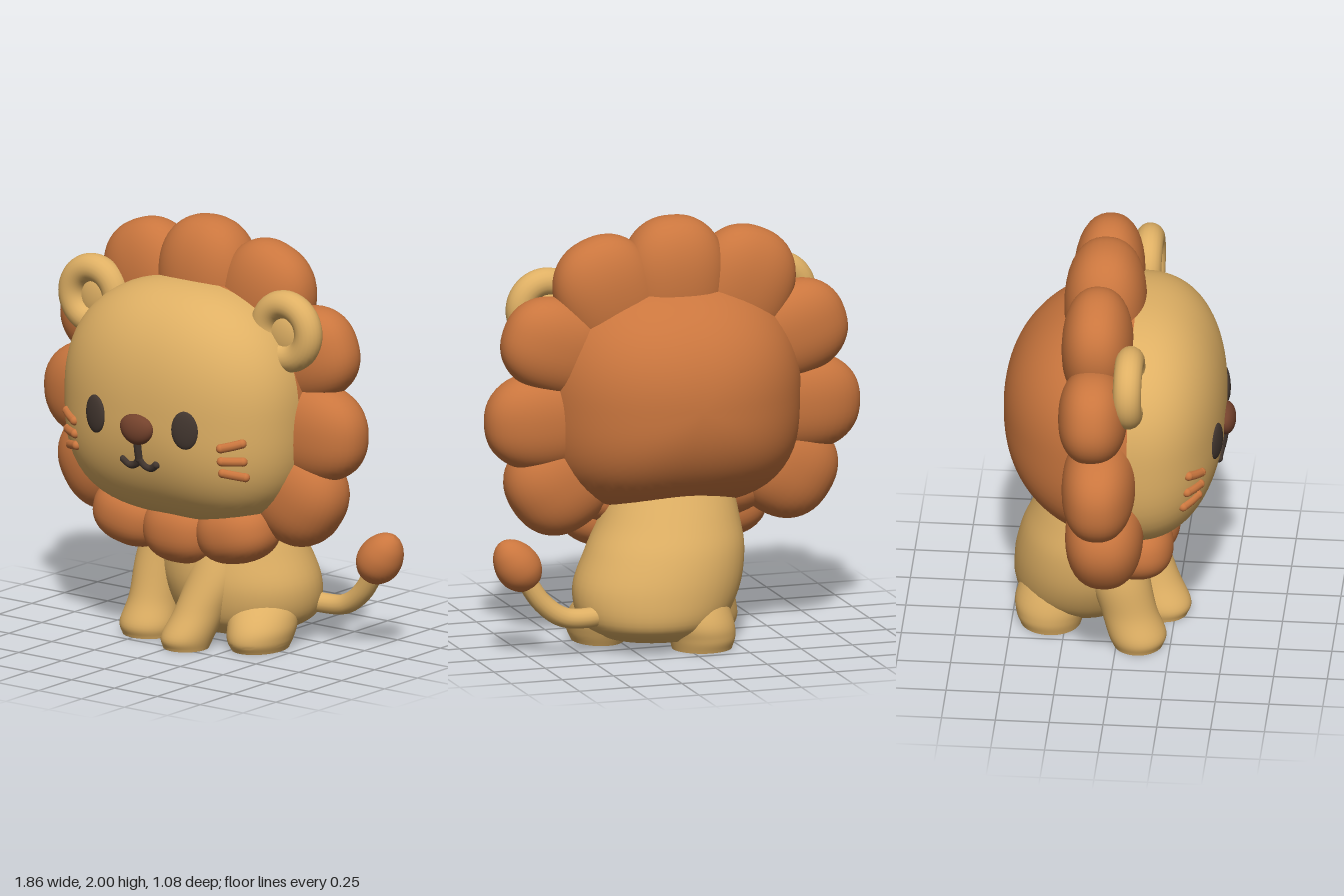
import * as THREE from 'three';
import { mergeVertices, toCreasedNormals } from 'three/addons/utils/BufferGeometryUtils.js';

const paint = (name, color) => {
  const m = new THREE.MeshStandardMaterial({ color });
  m.name = name;
  return m;
};

// Head shape: a rounded box-like ellipsoid, squarer below than above
const HEAD = { x: -0.015, y: 1.16, z: 0.08, a: 0.635, up: 0.57, down: 0.555 };
const FRONT = { c: 0.41, m: 2.3 }, BACK = { c: 0.62, m: 2.2 };
const outline = (x, y) => {
  const n = y > 0 ? 2.3 : 3;
  return (Math.abs(x) ** n + Math.abs(y) ** n) ** (1 / n);
};
const faceZ = (x, y) => {
  const dy = y - HEAD.y;
  const r = outline((x - HEAD.x) / HEAD.a, dy / (dy > 0 ? HEAD.up : HEAD.down));
  return HEAD.z + FRONT.c * Math.max(0, 1 - r ** FRONT.m) ** (1 / FRONT.m);
};

// Weld a reshaped sphere so its normals are smooth all over
function smooth(geometry) {
  geometry.deleteAttribute('uv');
  geometry.deleteAttribute('normal');
  const g = mergeVertices(geometry, 1e-4);
  g.computeVertexNormals();
  return g;
}

function headHalf({ c, m }, sign) {
  const g = new THREE.SphereGeometry(1, 72, 28, 0, Math.PI * 2, 0, Math.PI / 2);
  g.rotateX(sign * Math.PI / 2);
  const p = g.attributes.position;
  for (let i = 0; i < p.count; i++) {
    const x = p.getX(i), y = p.getY(i), z = p.getZ(i);
    const t = (outline(x, y) ** m + Math.abs(z) ** m) ** (-1 / m);
    p.setXYZ(i, HEAD.x + t * x * HEAD.a, HEAD.y + t * y * (y > 0 ? HEAD.up : HEAD.down), HEAD.z + t * z * c);
  }
  return smooth(g);
}

// Slightly squared ball for the plump mane lobes
function plumpBall(power) {
  const g = new THREE.SphereGeometry(1, 40, 28);
  const p = g.attributes.position;
  for (let i = 0; i < p.count; i++) {
    const v = new THREE.Vector3().fromBufferAttribute(p, i);
    const sum = Math.abs(v.x) ** power + Math.abs(v.y) ** power + Math.abs(v.z) ** power;
    v.multiplyScalar(sum ** (-1 / power));
    p.setXYZ(i, v.x, v.y, v.z);
  }
  return smooth(g);
}

// Smooth closed loft through elliptical rings [y, cx, cz, rx, rz], bottom to top
function loft(rows) {
  const centres = new THREE.CatmullRomCurve3(rows.map(r => new THREE.Vector3(r[1], r[0], r[2])), false, 'catmullrom');
  const radii = new THREE.CatmullRomCurve3(rows.map(r => new THREE.Vector3(r[3], 0, r[4])), false, 'catmullrom');
  const steps = rows.length * 5, seg = 40, pos = [], idx = [];
  for (let i = -1; i <= steps + 1; i++) {
    const t = Math.min(Math.max(i / steps, 0), 1), cap = i < 0 || i > steps ? 0 : 1;
    const c = centres.getPoint(t), r = radii.getPoint(t);
    for (let j = 0; j < seg; j++) {
      const a = j / seg * Math.PI * 2;
      pos.push(c.x + cap * r.x * Math.cos(a), c.y, c.z + cap * r.z * Math.sin(a));
    }
  }
  for (let i = 0; i < steps + 2; i++) for (let j = 0; j < seg; j++) {
    const a = i * seg + j, b = i * seg + (j + 1) % seg;
    idx.push(a, a + seg, b, b, a + seg, b + seg);
  }
  const g = new THREE.BufferGeometry();
  g.setAttribute('position', new THREE.Float32BufferAttribute(pos, 3));
  g.setIndex(idx);
  return toCreasedNormals(g, 0.8);
}

export function createModel() {
  const model = new THREE.Group();
  const fur = paint('sandy fur', 0xdfb064);
  const mane = paint('rust mane', 0xca763e);
  const dark = paint('dark brown', 0x42362f);
  const noseBrown = paint('nose brown', 0x74422c);

  const add = (name, geometry, material, parent = model) => {
    const mesh = new THREE.Mesh(geometry, material);
    mesh.name = name;
    parent.add(mesh);
    return mesh;
  };
  const ball = (name, material, [x, y, z], [rx, ry, rz], parent) => {
    const mesh = add(name, new THREE.SphereGeometry(1, 36, 24), material, parent);
    mesh.position.set(x, y, z);
    mesh.scale.set(rx, ry, rz);
    return mesh;
  };
  // Round-ended cord lying on the face
  const cord = (name, material, points, radius) => {
    const pts = points.map(([x, y]) => new THREE.Vector3(x, y, faceZ(x, y)));
    const group = new THREE.Group();
    group.name = name;
    model.add(group);
    add('cord', new THREE.TubeGeometry(new THREE.CatmullRomCurve3(pts), 20, radius, 10), material, group);
    for (const p of [pts[0], pts[pts.length - 1]]) ball('cordEnd', material, p.toArray(), [radius, radius, radius], group);
  };

  // Head
  add('face', headHalf(FRONT, 1), fur);
  add('maneBack', headHalf(BACK, -1), mane);

  // Mane lobes: [x, y, z, outward angle, radial, tangential, depth], mirrored
  const lobes = [
    [0, 1.69, -0.07, 90, 0.31, 0.25, 0.19],
    [0.32, 1.64, -0.08, 68, 0.295, 0.25, 0.165],
    [0.57, 1.42, -0.08, 20, 0.27, 0.225, 0.16],
    [0.61, 1.07, -0.05, -2, 0.3, 0.235, 0.17],
    [0.55, 0.77, -0.03, -33, 0.25, 0.24, 0.18],
    [0.3, 0.57, 0.1, -78, 0.15, 0.2, 0.17],
    [0, 0.54, 0.11, -90, 0.16, 0.2, 0.17],
  ];
  const lobeShape = plumpBall(2.3);
  for (const [x, y, z, deg, r, t, d] of lobes) for (const s of x ? [1, -1] : [1]) {
    const lobe = add('maneLobe', lobeShape, mane);
    const a = deg * Math.PI / 180;
    lobe.position.set(-0.02 + s * x, y, z);
    lobe.scale.set(r, t, d);
    lobe.rotation.z = s > 0 ? a : Math.PI - a;
  }
  // Mane under the chin, joining the lower lobes to the back
  ball('maneUnderChin', mane, [-0.02, 0.68, 0], [0.5, 0.17, 0.21]);

  // Ears: thick rim around a softly domed centre
  for (const s of [1, -1]) {
    const ear = new THREE.Group();
    ear.name = s > 0 ? 'leftEar' : 'rightEar';
    ear.position.set(-0.01 + s * 0.56, 1.565, 0.085);
    model.add(ear);
    add('earRim', new THREE.TorusGeometry(0.128, 0.066, 20, 48), fur, ear);
    ball('earCentre', fur, [-s * 0.02, -0.02, -0.015], [0.115, 0.115, 0.045], ear);
  }

  // Face details
  for (const s of [1, -1]) {
    const x = -0.012 + s * 0.26;
    const eye = ball(s > 0 ? 'leftEye' : 'rightEye', dark, [x, 1.12, faceZ(x, 1.12) - 0.002], [0.067, 0.091, 0.022]);
    eye.rotation.y = s * 0.28;
    cord('mouthCurve', dark, [[-0.012, 0.95], [-0.012 + s * 0.025, 0.917], [-0.012 + s * 0.062, 0.908], [-0.012 + s * 0.095, 0.93]], 0.018);
    for (const [yIn, yOut] of [[1.048, 1.073], [0.985, 0.985], [0.927, 0.907]]) {
      cord('whisker', mane, [[-0.012 + s * 0.425, yIn], [-0.012 + s * 0.47, (yIn + yOut) / 2], [-0.012 + s * 0.508, yOut]], 0.022);
    }
  }
  cord('mouthStem', dark, [[-0.012, 1.04], [-0.012, 0.99], [-0.012, 0.945]], 0.02);
  const nose = ball('nose', noseBrown, [-0.012, 1.09, 0.488], [0.092, 0.073, 0.047]);
  const np = nose.geometry.attributes.position;
  for (let i = 0; i < np.count; i++) np.setX(i, np.getX(i) * (1 + 0.14 * np.getY(i)));
  nose.geometry.computeVertexNormals();

  // Body, seated and turned a little to one side
  add('body', loft([
    [0.05, 0.11, -0.17, 0.24, 0.22],
    [0.13, 0.12, -0.18, 0.345, 0.31],
    [0.28, 0.095, -0.165, 0.395, 0.335],
    [0.45, 0.05, -0.15, 0.375, 0.315],
    [0.6, 0.02, -0.12, 0.33, 0.28],
    [0.8, 0, -0.08, 0.28, 0.22],
  ]), fur);
  add('rightFrontLeg', loft([
    [0, -0.245, 0.1, 0.12, 0.115],
    [0.06, -0.245, 0.095, 0.135, 0.135],
    [0.18, -0.235, 0.055, 0.12, 0.13],
    [0.35, -0.22, 0.01, 0.13, 0.14],
    [0.55, -0.18, -0.02, 0.13, 0.13],
  ]), fur);
  add('leftFrontLeg', loft([
    [0, 0.05, 0.195, 0.105, 0.11],
    [0.06, 0.055, 0.185, 0.12, 0.135],
    [0.18, 0.09, 0.13, 0.12, 0.13],
    [0.35, 0.13, 0.06, 0.135, 0.135],
    [0.55, 0.13, 0, 0.13, 0.13],
  ]), fur);
  add('leftHindLeg', loft([
    [0, 0.33, -0.005, 0.12, 0.155],
    [0.05, 0.33, -0.005, 0.14, 0.18],
    [0.12, 0.325, -0.03, 0.15, 0.185],
    [0.22, 0.29, -0.09, 0.15, 0.17],
    [0.34, 0.24, -0.13, 0.1, 0.1],
  ]), fur);
  add('rightHindLeg', loft([
    [0, -0.075, -0.32, 0.14, 0.14],
    [0.06, -0.075, -0.32, 0.155, 0.16],
    [0.15, -0.055, -0.3, 0.165, 0.18],
    [0.34, -0.01, -0.24, 0.15, 0.16],
  ]), fur);

  // Tail with an egg-shaped tuft
  const tailPath = new THREE.CatmullRomCurve3([[0.3, 0.2, -0.26], [0.48, 0.175, -0.3], [0.6, 0.19, -0.305], [0.7, 0.265, -0.3], [0.8, 0.42, -0.29]]
    .map(p => new THREE.Vector3(...p)));
  add('tail', new THREE.TubeGeometry(tailPath, 40, 0.047, 16), fur);
  const tuftProfile = new THREE.SplineCurve([[0, -0.125], [0.06, -0.11], [0.1, -0.05], [0.103, 0.02], [0.078, 0.085], [0.04, 0.125], [0, 0.14]]
    .map(p => new THREE.Vector2(...p)));
  const tuft = add('tailTuft', new THREE.LatheGeometry(tuftProfile.getPoints(30).map(p => p.setX(Math.max(0, p.x))), 36), mane);
  tuft.position.set(0.815, 0.445, -0.285);
  tuft.rotation.z = -0.6;

  return model;
}
